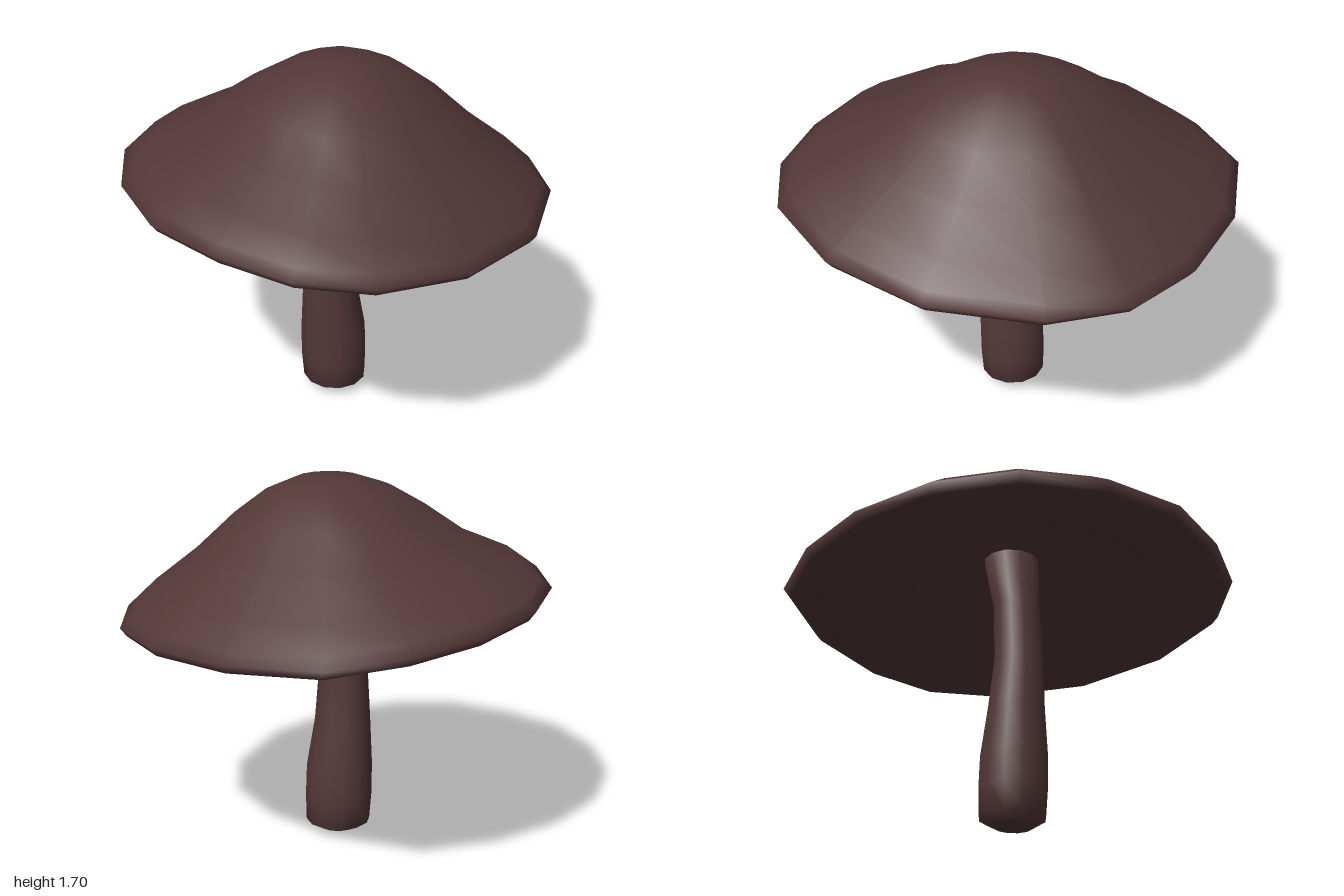
import * as THREE from 'three';

// Skin closed rings, ordered top to bottom, with a single pole at each end
function loft(top, rings, bottom) {
  const n = rings[0].length;
  const pos = [top, ...rings.flat(), bottom].flat();
  const last = rings.length * n + 1;
  const index = [];
  const at = (i, j) => 1 + i * n + (j % n);
  for (let j = 0; j < n; j++) {
    index.push(0, at(0, j + 1), at(0, j));
    for (let i = 0; i < rings.length - 1; i++) {
      const a = at(i, j), b = at(i, j + 1), c = at(i + 1, j), d = at(i + 1, j + 1);
      index.push(a, b, c, b, d, c);
    }
    index.push(last, at(rings.length - 1, j), at(rings.length - 1, j + 1));
  }
  const geometry = new THREE.BufferGeometry();
  geometry.setAttribute('position', new THREE.Float32BufferAttribute(pos, 3));
  geometry.setIndex(index);
  geometry.computeVertexNormals();
  return geometry;
}

// Irregular rim outline seen from above: x, z
const RIM = [
  [-0.02, -1], [0.33, -0.98], [0.66, -0.85], [0.885, -0.48],
  [0.975, -0.05], [0.935, 0.32], [0.74, 0.635], [0.335, 0.915],
  [-0.13, 0.998], [-0.54, 0.9], [-0.78, 0.68], [-0.915, 0.36],
  [-0.978, 0], [-0.89, -0.37], [-0.68, -0.69], [-0.38, -0.905],
];

// Cap section: fraction of the rim outline, height, amount of tilt
const CAP = [
  [0.14, 1.698, 0.02], [0.29, 1.645, 0.08], [0.45, 1.543, 0.2],
  [0.64, 1.395, 0.42], [0.85, 1.275, 0.84], [0.95, 1.195, 0.95],
  [1, 1.155, 1], [0.97, 1.115, 0.97], [0.88, 1.083, 0.88],
  [0.72, 1.09, 0.72], [0.52, 1.165, 0.4], [0.41, 1.235, 0.2],
  [0.3, 1.315, 0.1], [0.18, 1.35, 0],
];

// Stem sections: y, centre x, centre z, radius x, radius z
const STEM = [
  [1.4, 0.035, 0.01, 0.135, 0.135],
  [1.08, -0.02, -0.002, 0.106, 0.117],
  [0.8, -0.035, -0.005, 0.111, 0.121],
  [0.56, -0.026, -0.012, 0.127, 0.138],
  [0.33, -0.009, -0.011, 0.154, 0.158],
  [0.18, -0.004, -0.012, 0.156, 0.16],
  [0.055, 0, -0.012, 0.15, 0.153],
  [0.018, 0, -0.006, 0.085, 0.088],
];

export function createModel() {
  const group = new THREE.Group();
  const brown = new THREE.MeshStandardMaterial({ color: 0x533737 });
  brown.name = 'dark brown';

  // Hollow cap, rim higher on the -x side, crown set slightly towards +x
  const capRings = CAP.map(([f, y, tilt]) => RIM.map(([x, z]) => [
    x * f + 0.045 * (1 - f),
    y - (0.09 * x + 0.015 * z) * tilt,
    z * f + 0.015 * (1 - f),
  ]));
  const cap = new THREE.Mesh(loft([0.04, 1.702, 0.015], capRings, [0.04, 1.36, 0.015]), brown);
  cap.name = 'cap';

  // Slightly bent stem, swelling to a rounded foot
  const sides = 12;
  const stemRings = STEM.map(([y, cx, cz, rx, rz]) =>
    Array.from({ length: sides }, (_, j) => {
      const t = (j / sides) * Math.PI * 2;
      return [cx + rx * Math.sin(t), y, cz - rz * Math.cos(t)];
    }));
  const stem = new THREE.Mesh(loft([0.035, 1.42, 0.01], stemRings, [0, 0, 0]), brown);
  stem.name = 'stem';

  group.add(cap, stem);
  return group;
}
